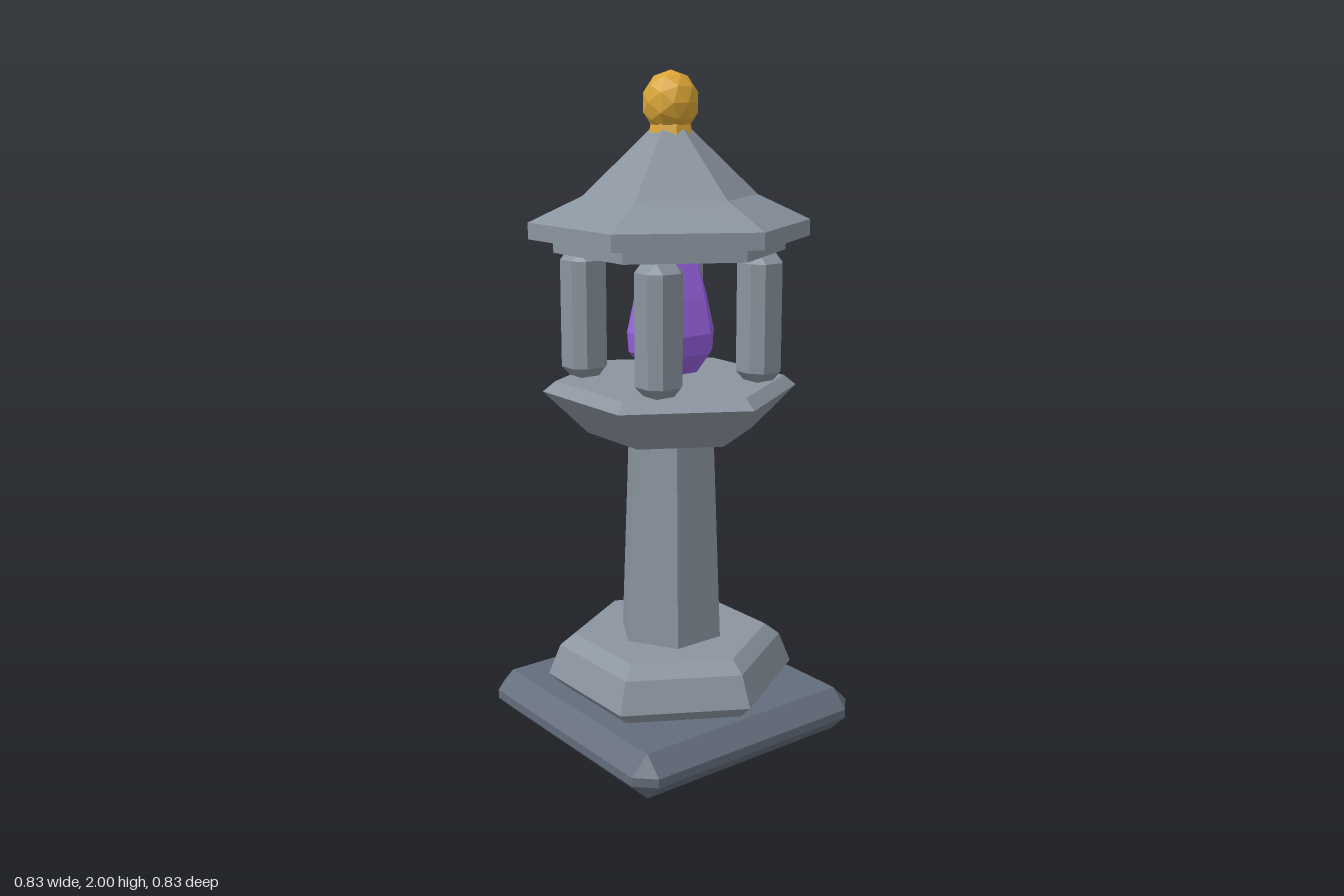
import * as THREE from 'three';
import { ConvexGeometry } from 'three/addons/geometries/ConvexGeometry.js';

const stone = new THREE.MeshStandardMaterial({ name: 'stone', color: 0x8a949f });
const darkStone = new THREE.MeshStandardMaterial({ name: 'darkStone', color: 0x636c7b });
const gold = new THREE.MeshStandardMaterial({ name: 'gold', color: 0xd9a536 });
const violet = new THREE.MeshStandardMaterial({ name: 'violet', color: 0x9560dc });

// Gives every face its own flat normal
function faceted(geometry) {
  const flat = geometry.index ? geometry.toNonIndexed() : geometry;
  flat.computeVertexNormals();
  return flat;
}

// Closed solid of revolution with few sides; profile is [radius, y] from bottom to top
function turned(profile, sides = 6, turn = Math.PI / 6) {
  const points = [
    [0, profile[0][1]],
    ...profile,
    [0, profile[profile.length - 1][1]],
  ].map(([r, y]) => new THREE.Vector2(r, y));
  return faceted(new THREE.LatheGeometry(points, sides).rotateY(turn));
}

// Box with every edge and corner cut by the bevel
function chamferedBox(hx, hy, hz, bevel) {
  const points = [];
  for (const x of [-1, 1]) for (const y of [-1, 1]) for (const z of [-1, 1]) {
    points.push(
      new THREE.Vector3(x * hx, y * (hy - bevel), z * (hz - bevel)),
      new THREE.Vector3(x * (hx - bevel), y * hy, z * (hz - bevel)),
      new THREE.Vector3(x * (hx - bevel), y * (hy - bevel), z * hz),
    );
  }
  return new ConvexGeometry(points);
}

// Cut gem: square ends swelling to an eight-sided girdle
function gem(rings, flat) {
  const points = [];
  for (const [r, y] of rings) for (const a of [-1, 1]) for (const b of [-1, 1]) {
    points.push(new THREE.Vector3(a * r, y, b * flat));
    if (r > flat) points.push(new THREE.Vector3(a * flat, y, b * r));
  }
  return new ConvexGeometry(points);
}

export function createModel() {
  const model = new THREE.Group();
  model.name = 'stoneLantern';

  function add(name, geometry, material, x = 0, y = 0, z = 0) {
    const mesh = new THREE.Mesh(geometry, material);
    mesh.name = name;
    mesh.position.set(x, y, z);
    model.add(mesh);
    return mesh;
  }

  // Square base and hexagonal foot
  add('base', chamferedBox(0.415, 0.0685, 0.415, 0.055), darkStone, 0, 0.0685, 0);
  add('foot', turned([[0.34, 0.137], [0.382, 0.177], [0.345, 0.27], [0.3, 0.305]]), stone);

  // Tapered column, its corners facing front and back
  add('column', turned([[0.164, 0.3], [0.138, 0.95]], 6, 0), stone);

  // Platform of the light chamber
  add('platform', turned([[0.25, 0.945], [0.382, 1.075], [0.345, 1.105]]), stone);

  // Four pillars
  const pillar = chamferedBox(0.061, 0.19, 0.061, 0.03);
  for (const x of [-1, 1]) for (const z of [-1, 1]) {
    add('pillar', pillar, stone, x * 0.185, 1.297, z * 0.185);
  }

  // Glowing gem inside the chamber
  add('gem', gem([[0.055, 1.125], [0.115, 1.19], [0.12, 1.25], [0.092, 1.355], [0.055, 1.46]], 0.055), violet);

  // Roof with its soffit
  add('soffit', turned([[0.343, 1.485], [0.343, 1.53]]), stone);
  add('roof', turned([[0.415, 1.525], [0.415, 1.573], [0.257, 1.647], [0.06, 1.835]]), stone);

  // Finial
  add('finialCollar', turned([[0.068, 1.812], [0.055, 1.87]], 8, Math.PI / 8), gold);
  const ball = add('finialBall', faceted(new THREE.IcosahedronGeometry(0.083, 1).scale(1, 1.1, 1)), gold);
  ball.position.y = 1.909;

  return model;
}
